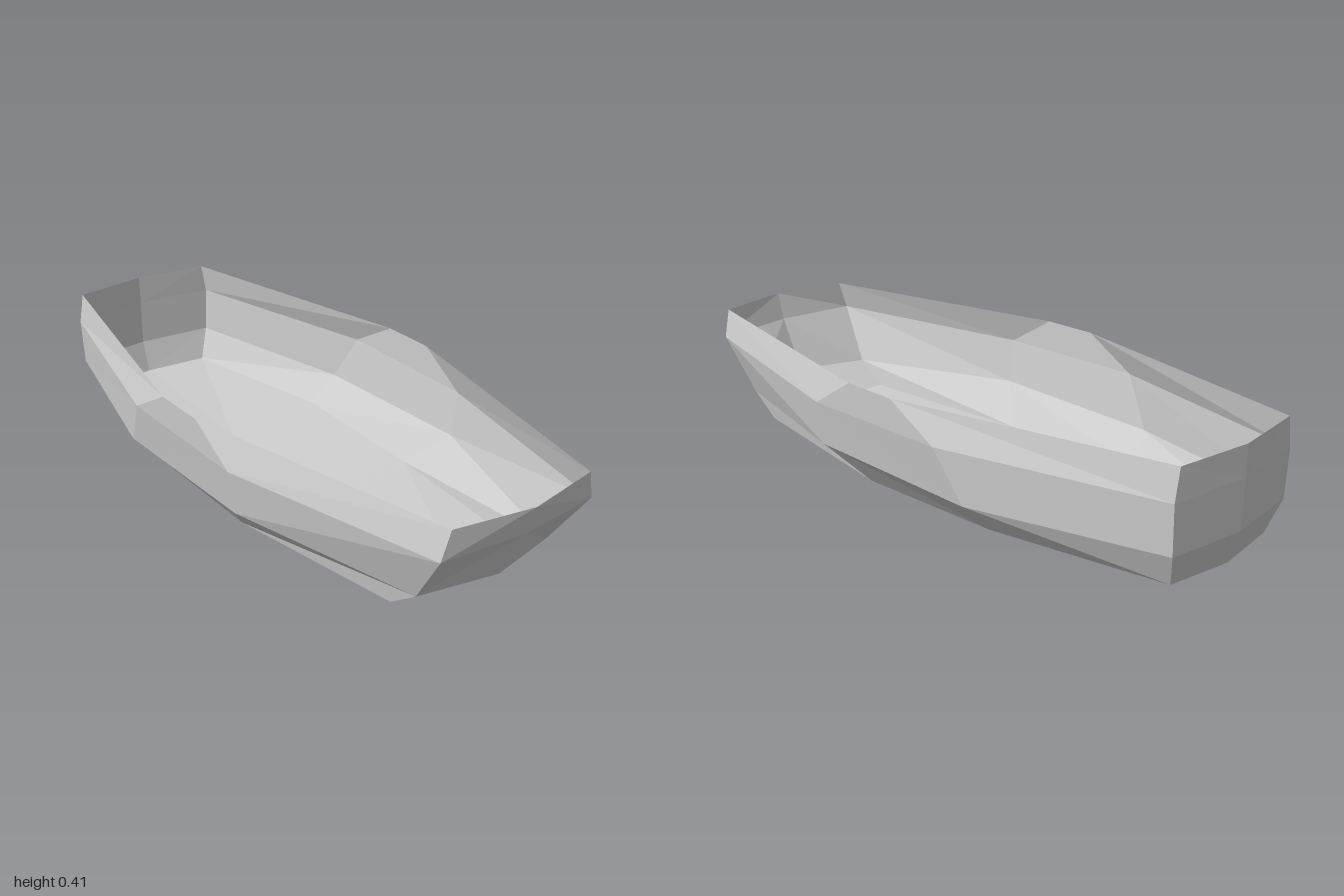
import * as THREE from 'three';

// Half cross-rings from rim down to floor: bow centre, bow corner, front side, rear side, stern corner, stern centre
const RINGS = [
  [[0, 0.407, 1], [0.245, 0.407, 0.955], [0.435, 0.407, 0.08], [0.435, 0.407, -0.1], [0.245, 0.407, -0.968], [0, 0.407, -1]],
  [[0, 0.317, 0.975], [0.27, 0.315, 0.947], [0.432, 0.305, 0.24], [0.432, 0.308, -0.27], [0.262, 0.31, -0.968], [0, 0.31, -1]],
  [[0, 0.147, 0.89], [0.24, 0.138, 0.83], [0.41, 0.162, 0.24], [0.405, 0.148, -0.36], [0.255, 0.158, -0.967], [0, 0.155, -0.998]],
  [[0, 0.055, 0.755], [0.24, 0.065, 0.73], [0.318, 0.045, 0.13], [0.32, 0.056, -0.38], [0.215, 0.054, -0.937], [0, 0.05, -0.965]],
];
// Keel line matching the floor ring stations
const KEEL = [[0, 0.055, 0.755], [0, 0.001, 0.11], [0, 0.014, -0.4], [0, 0.05, -0.965]];

function facetMesh(name, quads, material) {
  const positions = [];
  const tri = (...points) => points.forEach((p) => positions.push(...p));
  const flip = ([x, y, z]) => [-x, y, z];
  // Each quad is listed counter-clockwise from outside and mirrored to the other side
  for (const [a, b, c, d] of quads) {
    tri(a, b, c);
    if (d) tri(a, c, d);
    tri(flip(a), flip(c), flip(b));
    if (d) tri(flip(a), flip(d), flip(c));
  }
  const geometry = new THREE.BufferGeometry();
  geometry.setAttribute('position', new THREE.Float32BufferAttribute(positions, 3));
  geometry.computeVertexNormals();
  const mesh = new THREE.Mesh(geometry, material);
  mesh.name = name;
  return mesh;
}

export function createModel() {
  const group = new THREE.Group();
  group.name = 'boatHull';
  const material = new THREE.MeshStandardMaterial({ color: 0xcccccc, flatShading: true, side: THREE.DoubleSide });

  // Strakes between neighbouring rings, split into bow, sides and stern
  const parts = { bow: [], sides: [], transom: [] };
  for (let r = 0; r < RINGS.length - 1; r++) {
    const up = RINGS[r], low = RINGS[r + 1];
    for (let i = 0; i < 5; i++) {
      const part = i === 0 ? parts.bow : i === 4 ? parts.transom : parts.sides;
      part.push([up[i], low[i], low[i + 1], up[i + 1]]);
    }
  }
  for (const [name, quads] of Object.entries(parts)) group.add(facetMesh(name, quads, material));

  // Shallow V-shaped floor between the keel and the lowest ring
  const edge = RINGS[3].slice(1, 5);
  const floor = [0, 1, 2].map((i) => [KEEL[i], KEEL[i + 1], edge[i + 1], edge[i]]);
  group.add(facetMesh('floor', floor, material));
  return group;
}
